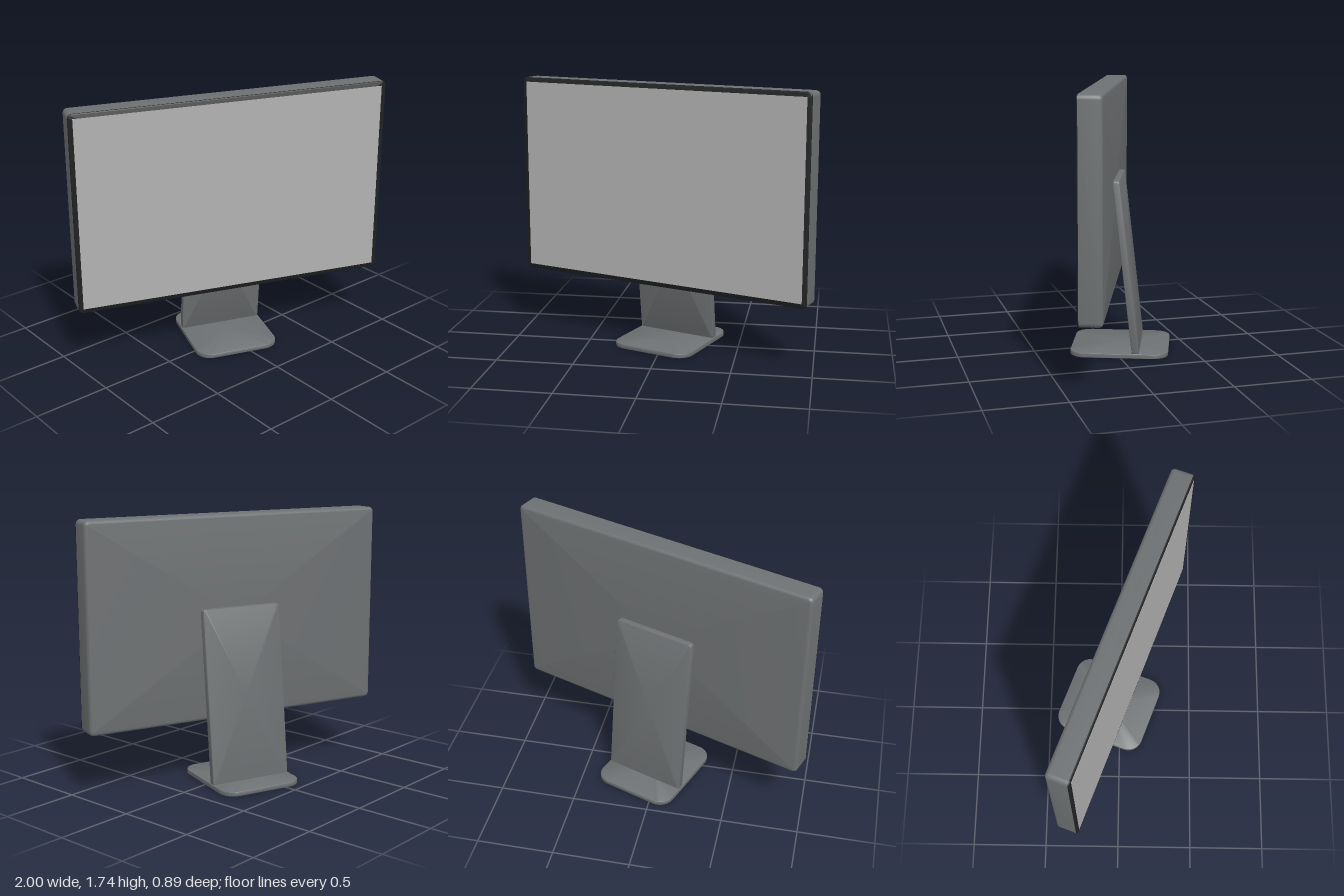
import * as THREE from 'three';
import { toCreasedNormals } from 'three/addons/utils/BufferGeometryUtils.js';

const material = (name, color) => {
  const m = new THREE.MeshStandardMaterial({ color });
  m.name = name;
  return m;
};

// Rounded rectangle outline, counter-clockwise
function outline(w, h, r, inset) {
  const pts = [], rr = Math.max(r - inset, 0.002), n = 6;
  const cx = w / 2 - inset - rr, cy = h / 2 - inset - rr;
  [[1, 1], [-1, 1], [-1, -1], [1, -1]].forEach(([sx, sy], q) => {
    for (let i = 0; i <= n; i++) {
      const a = (q + i / n) * Math.PI / 2;
      pts.push([sx * cx + rr * Math.cos(a), sy * cy + rr * Math.sin(a)]);
    }
  });
  return pts;
}

// Slab from z0 to z1 with rounded corners and separately rounded back and front edges
function slab(w, h, r, z0, z1, back, front) {
  const rings = [], steps = 4;
  const ring = (inset, z) => rings.push(outline(w, h, r, inset).map(([x, y]) => [x, y, z]));
  for (let i = 0; i <= (back ? steps : 0); i++) {
    const a = i / steps * Math.PI / 2;
    ring(back * (1 - Math.sin(a)), z0 + back * (1 - Math.cos(a)));
  }
  for (let i = front ? 0 : steps; i <= steps; i++) {
    const a = i / steps * Math.PI / 2;
    ring(front * (1 - Math.cos(a)), z1 - front * (1 - Math.sin(a)));
  }
  const pos = [], n = rings[0].length;
  const tri = (a, b, c) => pos.push(...a, ...b, ...c);
  for (let i = 0; i < n; i++) {
    const j = (i + 1) % n;
    for (let k = 0; k < rings.length - 1; k++) {
      tri(rings[k][i], rings[k][j], rings[k + 1][j]);
      tri(rings[k][i], rings[k + 1][j], rings[k + 1][i]);
    }
    const top = rings[rings.length - 1];
    tri([0, 0, z0], rings[0][j], rings[0][i]);
    tri([0, 0, z1], top[i], top[j]);
  }
  const g = new THREE.BufferGeometry();
  g.setAttribute('position', new THREE.Float32BufferAttribute(pos, 3));
  return g;
}

export function createModel() {
  const metal = material('grey metal', 0x6e7173);
  const black = material('black bezel', 0x202122);
  const glass = material('screen grey', 0xb2b2b2);

  const group = new THREE.Group();
  group.name = 'monitor';
  const turned = new THREE.Group();
  turned.name = 'turnedMonitor';
  turned.rotation.y = -20 * Math.PI / 180;
  turned.position.z = 0.02;
  group.add(turned);

  const add = (name, geometry, mat, y = 0, z = 0) => {
    const mesh = new THREE.Mesh(toCreasedNormals(geometry, 0.6), mat);
    mesh.name = name;
    mesh.position.set(0, y, z);
    turned.add(mesh);
  };

  // Display housing, bezel and screen
  const W = 2.078, H = 1.32, midY = 1.075;
  add('housing', slab(W, H, 0.03, -0.075, 0.065, 0.022, 0), metal, midY);
  add('bezel', slab(W, H, 0.03, 0.065, 0.075, 0, 0.008), black, midY);
  add('screen', new THREE.BoxGeometry(W - 0.06, H - 0.06, 0.002), glass, midY, 0.0755);

  // Leaning stand plate, sheared so that its foot sits further back
  const stand = slab(0.553, 1.125, 0.02, -0.0225, 0.0225, 0.006, 0.006);
  stand.applyMatrix4(new THREE.Matrix4().set(
    1, 0, 0, 0,
    0, 1, 0, 0,
    0, 0.113, 1, 0,
    0, 0, 0, 1));
  add('stand', stand, metal, 0.5825, -0.153);

  // Flat foot with large rounded corners
  const foot = slab(0.56, 0.634, 0.1, 0, 0.03, 0.004, 0.004);
  foot.rotateX(-Math.PI / 2);
  add('foot', foot, metal, 0, -0.106);

  return group;
}
